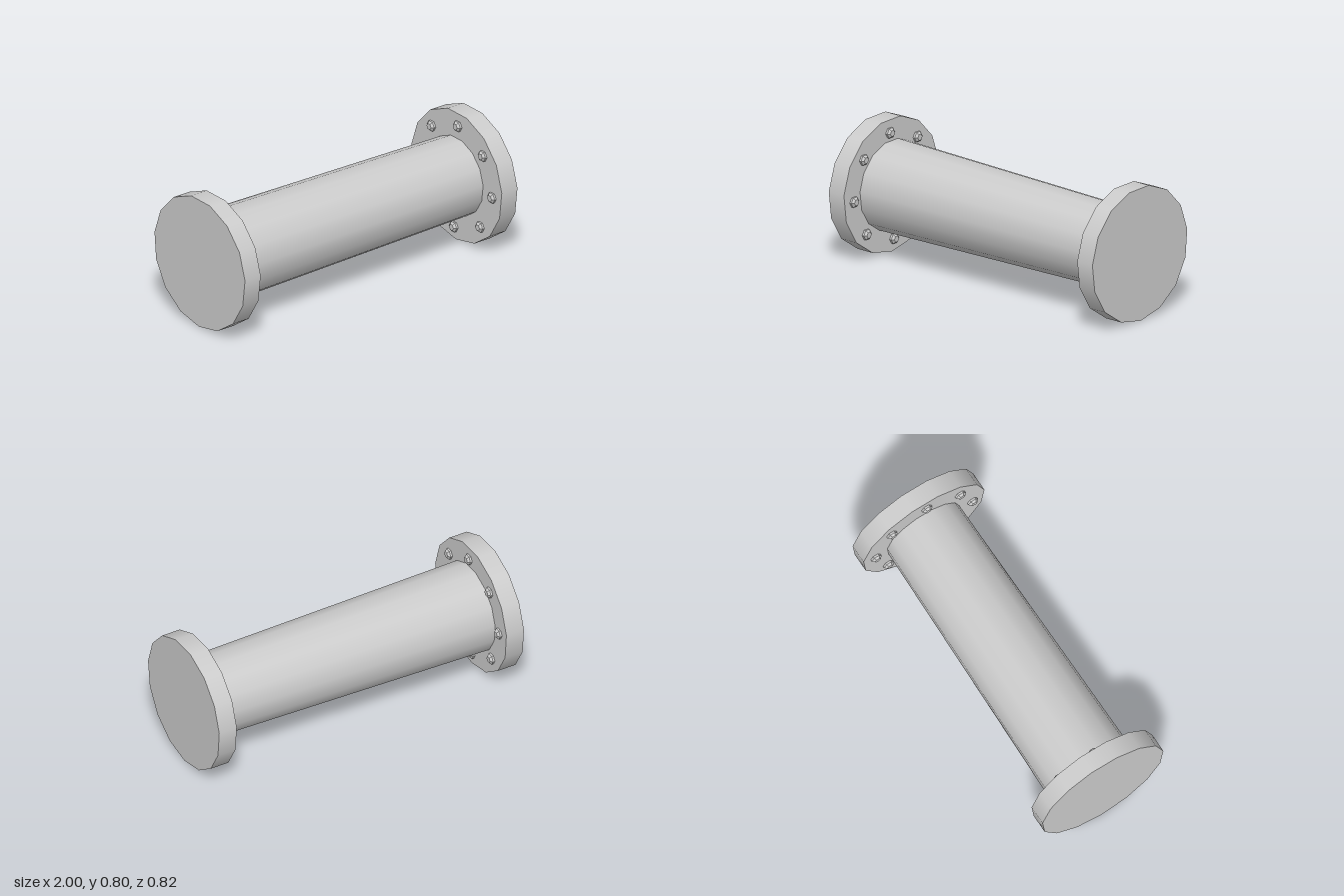
import * as THREE from 'three';

const SIDES = 15;
const CENTRE_Y = 0.402;
const SQUASH = 0.976; // cross-sections are slightly flatter than wide
const START = THREE.MathUtils.degToRad(91); // puts one corner at the bottom

const grey = new THREE.MeshStandardMaterial({ color: 0xcccccc });
const faceted = new THREE.MeshStandardMaterial({ color: 0xcccccc, flatShading: true });

// Round bar lying along x from x0 to x1
function bar(name, x0, x1, r0, r1, open = false) {
  const geo = new THREE.CylinderGeometry(r1, r0, x1 - x0, SIDES, 1, open, START);
  geo.rotateZ(-Math.PI / 2);
  geo.scale(1, SQUASH, 1);
  const mesh = new THREE.Mesh(geo, grey);
  mesh.name = name;
  mesh.position.x = (x0 + x1) / 2;
  return mesh;
}

export function createModel() {
  const model = new THREE.Group();
  model.name = 'flangedPipe';

  // Tapered pipe between the two flanges
  const pipe = bar('pipe', -0.886, 0.886, 0.2765, 0.246, true);
  pipe.position.z = -0.004;
  model.add(pipe);

  // Six-sided bolt head with a chamfered top
  const boltGeo = new THREE.LatheGeometry(
    [[0.033, -0.005], [0.033, 0.012], [0.02, 0.025], [0, 0.025]]
      .map(([r, h]) => new THREE.Vector2(r, h)), 6);

  for (const side of [-1, 1]) {
    const end = new THREE.Group();
    end.name = side < 0 ? 'rightEnd' : 'leftEnd';

    // Closed end flange
    end.add(side < 0
      ? bar('flange', -1, -0.885, 0.412, 0.412)
      : bar('flange', 0.885, 1, 0.412, 0.412));

    // Ring of eight bolts on the inner face
    for (let i = 0; i < 8; i++) {
      const a = THREE.MathUtils.degToRad(-3 + i * 45);
      const bolt = new THREE.Mesh(boltGeo, faceted);
      bolt.name = 'bolt';
      bolt.position.set(side * 0.885, 0.322 * Math.sin(a) - 0.004, 0.328 * Math.cos(a));
      bolt.rotation.z = side * Math.PI / 2;
      end.add(bolt);
    }
    model.add(end);
  }

  for (const part of model.children) part.position.y = CENTRE_Y;
  return model;
}
